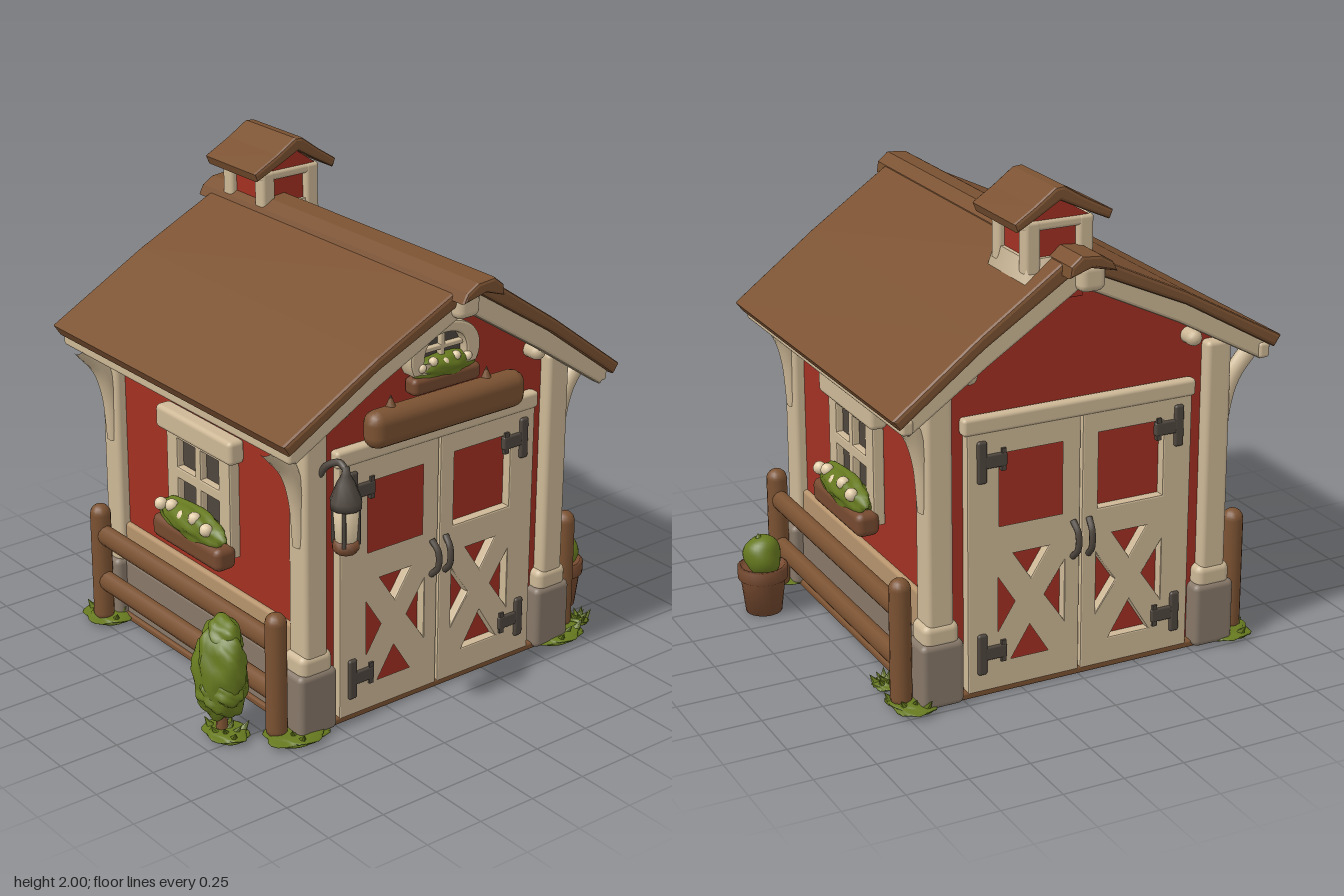
import * as THREE from 'three';
import { RoundedBoxGeometry } from 'three/addons/geometries/RoundedBoxGeometry.js';

const mat = (name, color) => Object.assign(new THREE.MeshStandardMaterial({ color }), { name });
const red = mat('barn red', 0xa23022), cream = mat('cream trim', 0xcdb896), brown = mat('brown wood', 0x7b5232);
const stone = mat('stone', 0x877869), iron = mat('dark iron', 0x4e463e), green = mat('leaf green', 0x66791f);
const tan = mat('tan skirting', 0xb5936c), pale = mat('pale petals', 0xe2cda8), clay = mat('clay', 0x75492f);

function add(parent, name, geo, material, x = 0, y = 0, z = 0) {
  const m = new THREE.Mesh(geo, material);
  m.name = name;
  m.position.set(x, y, z);
  parent.add(m);
  return m;
}
function group(parent, name, x = 0, y = 0, z = 0, turn = 0) {
  const g = new THREE.Group();
  g.name = name;
  g.position.set(x, y, z);
  g.rotation.y = turn;
  parent.add(g);
  return g;
}
// Softly rounded box given by its lower and upper corners
function block(parent, name, material, [x0, y0, z0], [x1, y1, z1], r = 0.015) {
  const geo = new RoundedBoxGeometry(x1 - x0, y1 - y0, z1 - z0, 2, r);
  return add(parent, name, geo, material, (x0 + x1) / 2, (y0 + y1) / 2, (z0 + z1) / 2);
}
const poly = (pts) => new THREE.Shape(pts.map(([x, y]) => new THREE.Vector2(x, y)));
const rect = (x0, y0, x1, y1) => [[x0, y0], [x1, y0], [x1, y1], [x0, y1]];
// Profile in x and y, extruded from z0 to z1 with a small bevel
function prism(parent, name, material, shape, z0, z1, b = 0.01) {
  const geo = new THREE.ExtrudeGeometry(shape, {
    depth: z1 - z0 - 2 * b, bevelEnabled: b > 0, bevelSize: b, bevelThickness: b,
    bevelOffset: -b, bevelSegments: 2, curveSegments: 24,
  });
  return add(parent, name, geo, material, 0, 0, z0 + b);
}
function tube(parent, name, material, pts, r) {
  const curve = new THREE.CatmullRomCurve3(pts.map((p) => new THREE.Vector3(...p)));
  return add(parent, name, new THREE.TubeGeometry(curve, 16, r, 10), material);
}
// Lumpy ellipsoid for foliage
function blob(parent, name, material, [x, y, z], [rx, ry, rz], lump = 0.12, freq = 5) {
  const geo = new THREE.SphereGeometry(1, 28, 20);
  const p = geo.attributes.position, v = new THREE.Vector3();
  for (let i = 0; i < p.count; i++) {
    v.fromBufferAttribute(p, i);
    const k = Math.sin(v.x * freq + x * 9) * Math.sin(v.y * freq * 1.3 + 1) + Math.sin(v.z * freq + v.y * 4 + z * 7);
    v.multiplyScalar(1 - lump + (lump * k) / 2);
    p.setXYZ(i, v.x * rx, v.y * ry, v.z * rz);
  }
  geo.computeVertexNormals();
  return add(parent, name, geo, material, x, y, z);
}

// Pair of doors with open panels and cross braces, facing +z
function doors(parent, z) {
  const panels = [
    rect(0.075, 0.69, 0.36, 1.0),
    [[0.14, 0.575], [0.29, 0.575], [0.215, 0.46]],
    [[0.13, 0.13], [0.31, 0.13], [0.22, 0.275]],
    [[0.07, 0.25], [0.07, 0.5], [0.155, 0.375]],
    [[0.36, 0.25], [0.36, 0.5], [0.275, 0.375]],
  ];
  for (const s of [-1, 1]) {
    const flip = (pts) => pts.map(([x, y]) => [x * s, y]);
    const leaf = poly(flip(rect(0.004, 0.02, 0.485, 1.1)));
    leaf.holes = panels.map((pts) => poly(flip(pts)));
    prism(parent, 'doorLeaf', cream, leaf, z, z + 0.045, 0.007);
    for (const y of [0.18, 0.97]) {
      const a = s > 0 ? 0.32 : -0.44;
      block(parent, 'hingeArm', iron, [a, y - 0.028, z + 0.03], [a + 0.12, y + 0.028, z + 0.056], 0.008);
      add(parent, 'hingePlate', new RoundedBoxGeometry(0.04, 0.17, 0.024, 2, 0.01), iron, s * 0.425, y, z + 0.046);
      add(parent, 'hingeTip', new THREE.BoxGeometry(0.02, 0.09, 0.018), iron, s * 0.335, y, z + 0.045);
    }
    tube(parent, 'doorHandle', iron, [[s * 0.035, 0.66, z + 0.045], [s * 0.03, 0.62, z + 0.08],
      [s * 0.03, 0.55, z + 0.08], [s * 0.035, 0.51, z + 0.045]], 0.013);
  }
  block(parent, 'doorHeader', cream, [-0.5, 1.08, z], [0.5, 1.15, z + 0.05]);
}

// Planted box with blossoms, facing +z from its back edge
function flowerBox(parent, x, y, z, w, s) {
  const g = group(parent, 'flowerBox', x, y, z);
  block(g, 'planter', clay, [-w / 2, -0.05 * s, 0], [w / 2, 0.05 * s, 0.1 * s], 0.03 * s);
  blob(g, 'flowerLeaves', green, [0, 0.075 * s, 0.05 * s], [w * 0.53, 0.08 * s, 0.07 * s], 0.12, 7);
  for (let i = 0; i < 5; i++)
    add(g, 'blossom', new THREE.SphereGeometry(0.027 * s, 10, 8), pale,
      w * (-0.38 + 0.17 * i), (0.105 + 0.02 * (i % 2)) * s, 0.085 * s);
}

function sideWindow(parent, x, turn) {
  const g = group(parent, 'sideWindow', x, 0, -0.03, turn);
  const frame = poly(rect(-0.215, 0.58, 0.215, 1.04));
  for (const a of [-0.14, 0.02])
    for (const [y0, y1] of [[0.67, 0.8], [0.85, 0.97]]) frame.holes.push(poly(rect(a, y0, a + 0.12, y1)));
  prism(g, 'windowFrame', cream, frame, 0, 0.05, 0.008);
  add(g, 'windowGlass', new THREE.BoxGeometry(0.38, 0.38, 0.008), iron, 0, 0.81, 0.015);
  block(g, 'windowLintel', cream, [-0.255, 0.99, 0], [0.255, 1.09, 0.075], 0.02);
  flowerBox(g, 0, 0.59, 0.025, 0.46, 1);
}

function fence(parent, s) {
  const g = group(parent, 'fence', s * 0.735);
  for (const z of [0.58, -0.64])
    add(g, 'fencePost', new THREE.CapsuleGeometry(0.043, 0.45, 6, 14), brown, 0, 0.268, z);
  for (const y of [0.195, 0.405]) {
    const rail = add(g, 'fenceRail', new THREE.CapsuleGeometry(0.045, 1.17, 6, 12), brown, 0, y, -0.03);
    rail.rotation.x = Math.PI / 2;
    rail.scale.x = 0.75;
  }
}

function grass(parent, x, z, rx, rz) {
  const g = group(parent, 'grassTuft', x, 0, z);
  blob(g, 'grassMound', green, [0, 0.016, 0], [rx, 0.02, rz], 0.15, 6);
  for (let i = 0; i < 9; i++) {
    const a = i * 2.4, r = 0.25 + 0.07 * i;
    const blade = add(g, 'grassBlade', new THREE.ConeGeometry(0.02, 0.055, 5), green,
      Math.cos(a) * rx * r, 0.035, Math.sin(a) * rz * r);
    blade.rotation.set(Math.sin(a) * 0.6, 0, -Math.cos(a) * 0.6);
  }
}

export function createModel() {
  const model = new THREE.Group();
  model.name = 'barn';

  // Walls, plinth and corner posts
  const body = group(model, 'body', 0, 0, -0.03);
  prism(body, 'walls', red, poly([[-0.61, 0.02], [0.61, 0.02], [0.61, 1.3], [0.05, 1.69], [-0.61, 1.36]]), -0.64, 0.64, 0);
  block(body, 'floorSlab', brown, [-0.66, 0, -0.68], [0.66, 0.03, 0.68], 0.01);
  for (const s of [-1, 1]) {
    block(body, 'stonePlinth', stone, [s * 0.615 - 0.03, 0.005, -0.64], [s * 0.615 + 0.03, 0.27, 0.64]);
    block(body, 'skirting', tan, [s * 0.605 - 0.025, 0.26, -0.64], [s * 0.605 + 0.025, 0.43, 0.64]);
    for (const t of [-1, 1]) {
      const post = group(body, 'cornerPost', s * 0.6, 0, t * 0.635);
      block(post, 'postShaft', cream, [-0.055, 0.2, -0.055], [0.055, 1.29, 0.055], 0.02);
      block(post, 'postCollar', cream, [-0.075, 0.25, -0.065], [0.075, 0.35, 0.062], 0.03);
      block(post, 'stoneFoot', stone, [-0.09, 0.005, -0.075], [0.09, 0.275, 0.07], 0.025);
      tube(post, 'eaveBrace', cream, [[s * 0.03, 0.8, 0], [s * 0.05, 1.0, 0], [s * 0.09, 1.12, 0], [s * 0.18, 1.23, 0]], 0.036);
    }
  }
  for (const turn of [0, Math.PI]) {
    const end = group(body, turn ? 'backEnd' : 'frontEnd', 0, 0, 0, turn);
    doors(end, 0.635);
    for (const x of [-0.48, 0.48]) {
      const knob = add(end, 'beamEnd', new THREE.CapsuleGeometry(0.033, 0.05, 5, 12), cream, x, 1.32, 0.66);
      knob.rotation.x = Math.PI / 2;
    }
  }
  sideWindow(model, 0.61, Math.PI / 2);
  sideWindow(model, -0.61, -Math.PI / 2);

  // Roof with trim boards
  prism(model, 'roof', brown, poly([[-0.83, 1.3], [-0.4, 1.538], [0.02, 1.74], [0.1, 1.745], [0.47, 1.49], [0.82, 1.225],
    [0.79, 1.185], [0.45, 1.44], [0.06, 1.69], [-0.4, 1.485], [-0.8, 1.255]]), -0.795, 0.77, 0.014);
  prism(model, 'ridgeCap', brown, poly([[-0.06, 1.685], [-0.04, 1.725], [0.01, 1.755], [0.09, 1.762], [0.135, 1.725], [0.14, 1.68],
    [0.05, 1.71]]), -0.86, 0.84, 0.012);
  for (const [z0, z1] of [[0.68, 0.745], [-0.77, -0.705]]) {
    prism(model, 'gableBoard', cream, poly([[-0.79, 1.27], [-0.4, 1.495], [0.05, 1.71], [0.45, 1.45], [0.785, 1.2],
      [0.745, 1.145], [0.43, 1.36], [0.04, 1.61], [-0.38, 1.41], [-0.755, 1.205]]), z0, z1, 0.012);
    const zc = (z0 + z1) / 2 + Math.sign(z0) * 0.03;
    block(model, 'peakBlock', cream, [-0.04, 1.6, zc - 0.05], [0.07, 1.71, zc + 0.05], 0.03);
  }
  block(model, 'rightEaveBoard', cream, [0.73, 1.155, -0.78], [0.78, 1.215, 0.745]);
  block(model, 'leftEaveBoard', cream, [-0.79, 1.21, -0.78], [-0.74, 1.275, 0.745]);

  // Roof turret
  const turret = group(model, 'turret', 0.105, 0, -0.575);
  block(turret, 'turretCore', red, [-0.115, 1.55, -0.115], [0.115, 1.86, 0.115], 0.005);
  const skirt = new THREE.CylinderGeometry(0.185, 0.215, 0.1, 4).rotateY(Math.PI / 4);
  add(turret, 'turretSkirt', skirt, cream, 0, 1.675, 0);
  for (const x of [-0.11, 0.11])
    for (const z of [-0.11, 0.11]) block(turret, 'turretPost', cream, [x - 0.032, 1.63, z - 0.032], [x + 0.032, 1.87, z + 0.032]);
  block(turret, 'turretLintel', cream, [-0.145, 1.83, -0.14], [0.145, 1.87, 0.14]);
  prism(turret, 'turretGable', red, poly([[-0.14, 1.86], [0.14, 1.86], [0.012, 1.95]]), -0.13, 0.13, 0);
  prism(turret, 'turretRoof', brown, poly([[-0.205, 1.885], [-0.09, 1.945], [0.0, 2.0], [0.035, 1.997], [0.12, 1.935], [0.205, 1.88],
    [0.19, 1.845], [0.1, 1.895], [0.015, 1.945], [-0.09, 1.895], [-0.19, 1.85]]), -0.175, 0.175, 0.012);

  // Rounded loft window with planted box
  const loft = group(model, 'loftWindow', 0, 1.37, 0.6);
  const arch = new THREE.Shape().moveTo(-0.15, 0).lineTo(0.15, 0);
  arch.bezierCurveTo(0.2, 0.07, 0.16, 0.19, 0, 0.19).bezierCurveTo(-0.16, 0.19, -0.2, 0.07, -0.15, 0);
  const pane = new THREE.Path().moveTo(-0.1, 0.01).lineTo(0.1, 0.01);
  pane.bezierCurveTo(0.11, 0.09, 0.09, 0.145, 0, 0.145).bezierCurveTo(-0.09, 0.145, -0.11, 0.09, -0.1, 0.01);
  arch.holes.push(pane);
  prism(loft, 'loftFrame', cream, arch, 0, 0.075, 0.01);
  add(loft, 'loftGlass', new THREE.BoxGeometry(0.22, 0.15, 0.008), iron, 0, 0.08, 0.03);
  block(loft, 'loftMullion', cream, [-0.011, 0, 0.02], [0.011, 0.15, 0.055], 0.005);
  block(loft, 'loftCrossbar', cream, [-0.1, 0.075, 0.02], [0.1, 0.095, 0.055], 0.005);
  flowerBox(model, 0.01, 1.325, 0.61, 0.33, 0.7);

  // Blank board above the doors
  block(model, 'signBoard', brown, [-0.37, 1.13, 0.61], [0.39, 1.28, 0.715], 0.05);
  for (const x of [-0.25, 0.22]) add(model, 'signPeg', new THREE.ConeGeometry(0.025, 0.06, 8), brown, x, 1.295, 0.655);

  // Hanging lantern
  const lantern = group(model, 'lantern', -0.55, 0, 0.77);
  const turned = (name, m, pts) => add(lantern, name, new THREE.LatheGeometry(pts.map((p) => new THREE.Vector2(...p)), 10), m);
  turned('lanternCap', iron, [[0, 0.99], [0.06, 0.99], [0.062, 1.02], [0.035, 1.09], [0.018, 1.12], [0.014, 1.15], [0, 1.155]]);
  turned('lanternGlass', pale, [[0, 0.85], [0.042, 0.85], [0.052, 1.0], [0, 1.0]]);
  turned('lanternBase', clay, [[0, 0.81], [0.04, 0.81], [0.053, 0.83], [0.05, 0.86], [0, 0.865]]);
  for (let i = 0; i < 4; i++) {
    const a = Math.PI * (i / 2 + 0.25);
    add(lantern, 'lanternBar', new THREE.CylinderGeometry(0.008, 0.008, 0.16, 6), iron, Math.cos(a) * 0.048, 0.925, Math.sin(a) * 0.048);
  }
  tube(lantern, 'lanternArm', iron, [[-0.03, 1.07, -0.13], [-0.02, 1.13, -0.09], [0, 1.155, -0.04], [0, 1.14, 0]], 0.014);

  // Fences, potted plant, bush and grass
  fence(model, 1);
  fence(model, -1);
  const pot = group(model, 'pottedPlant', 0.88, 0, 0.4);
  const potProfile = [[0, 0], [0.075, 0], [0.092, 0.14], [0.104, 0.15], [0.105, 0.2], [0.09, 0.205], [0.085, 0.18], [0, 0.18]];
  add(pot, 'pot', new THREE.LatheGeometry(potProfile.map((p) => new THREE.Vector2(...p)), 24), clay);
  blob(pot, 'potLeaves', green, [0, 0.245, 0], [0.083, 0.095, 0.09], 0.07, 3);
  const tip = add(pot, 'potLeafTip', new THREE.ConeGeometry(0.055, 0.08, 12), green, 0.01, 0.305, 0);
  tip.rotation.z = -0.15;

  const bush = group(model, 'bush', -0.885, 0, 0.43);
  add(bush, 'bushStem', new THREE.CylinderGeometry(0.018, 0.026, 0.14, 8), brown, 0, 0.07, 0);
  blob(bush, 'bushLeaves', green, [0, 0.27, 0], [0.108, 0.22, 0.14], 0.14, 7);
  blob(bush, 'bushCrown', green, [0.02, 0.41, -0.01], [0.075, 0.095, 0.1], 0.12, 6);
  blob(bush, 'bushSkirt', green, [-0.01, 0.2, 0.01], [0.1, 0.1, 0.12], 0.15, 8);

  grass(model, 0.66, 0.63, 0.14, 0.11);
  grass(model, 0.82, 0.6, 0.05, 0.05);
  grass(model, 0.7, -0.65, 0.1, 0.14);
  grass(model, 0.72, -0.47, 0.06, 0.07);
  grass(model, -0.67, 0.62, 0.15, 0.12);
  grass(model, -0.7, -0.65, 0.12, 0.13);
  grass(model, -0.88, 0.45, 0.09, 0.12);
  return model;
}
